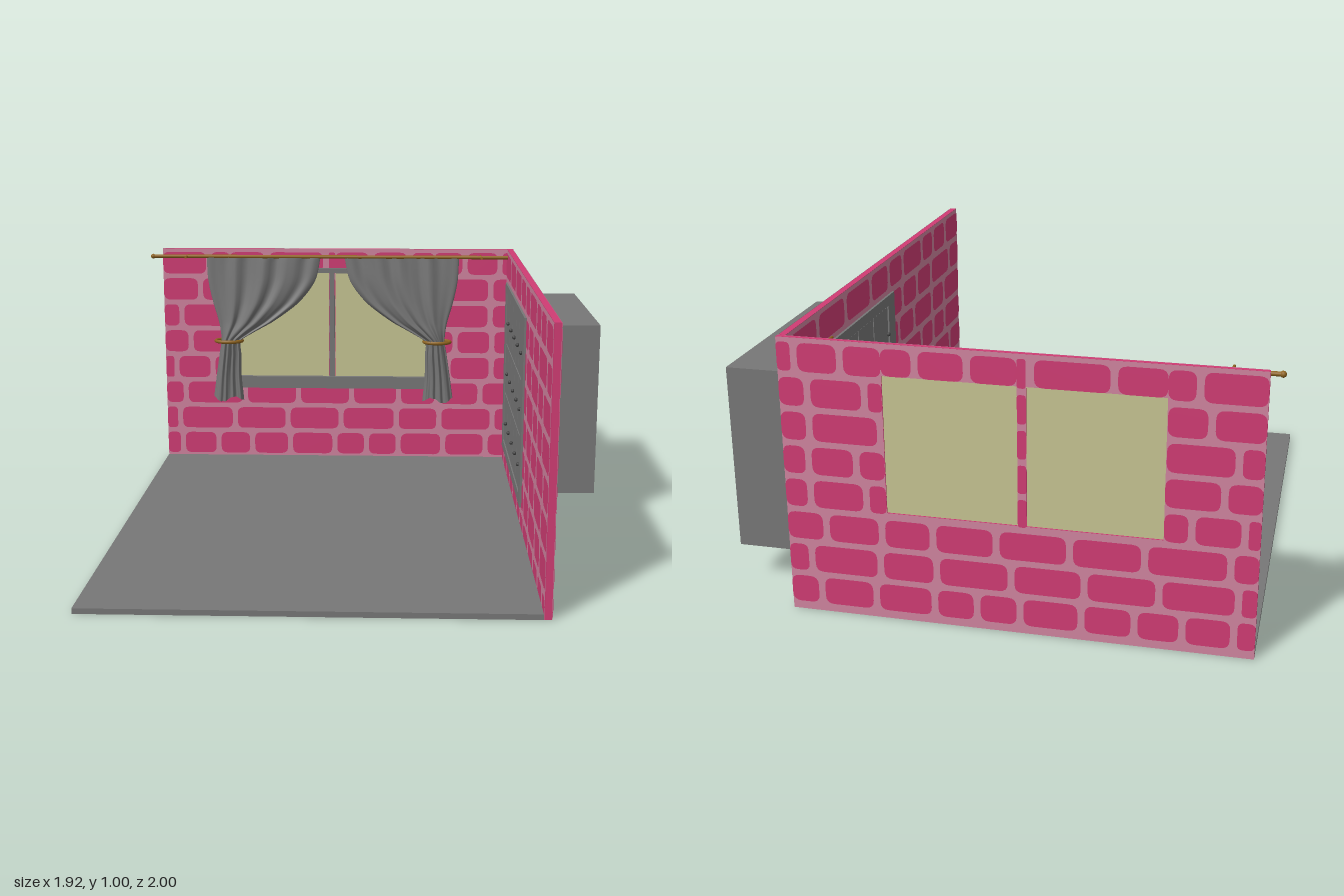
import * as THREE from 'three';

const mat = (name, color) => {
  const m = new THREE.MeshStandardMaterial({ color, side: THREE.DoubleSide });
  m.name = name;
  return m;
};

// vertical joint positions of each brick course, bottom to top
const JOINTS = [
  [-0.85, -0.68, -0.52, -0.34, -0.13, 0.02, 0.17, 0.38, 0.58, 0.75, 0.91],
  [-0.86, -0.6, -0.35, -0.1, 0.16, 0.36, 0.61, 0.8],
  [-0.83, -0.55, -0.3, -0.05, 0.17, 0.35, 0.55, 0.8, 0.97],
  [-0.87, -0.7, -0.45, -0.25, 0, 0.2, 0.4, 0.6, 0.84],
  [-0.8, -0.55, -0.3, -0.05, 0.18, 0.43, 0.6, 0.77, 0.97],
  [-0.97, -0.84, -0.6, -0.35, -0.1, 0.14, 0.34, 0.59, 0.77],
  [-0.95, -0.75, -0.6, -0.46, -0.28, -0.1, 0.05, 0.2, 0.39, 0.59, 0.86],
  [-0.96, -0.71, -0.44, -0.17, 0.04, 0.215, 0.47, 0.63, 0.81],
];

// rectangles are [x0, y0, x1, y1]
function rectPath(P, [x0, y0, x1, y1]) {
  const p = new P();
  p.moveTo(x0, y0).lineTo(x1, y0).lineTo(x1, y1).lineTo(x0, y1).closePath();
  return p;
}

function roundedRect([x0, y0, x1, y1]) {
  const r = Math.min(0.03, (x1 - x0) * 0.35, (y1 - y0) * 0.35);
  const s = new THREE.Shape();
  s.moveTo(x0 + r, y0).lineTo(x1 - r, y0).quadraticCurveTo(x1, y0, x1, y0 + r)
    .lineTo(x1, y1 - r).quadraticCurveTo(x1, y1, x1 - r, y1)
    .lineTo(x0 + r, y1).quadraticCurveTo(x0, y1, x0, y1 - r)
    .lineTo(x0, y0 + r).quadraticCurveTo(x0, y0, x0 + r, y0);
  return s;
}

// parts of a rectangle left over outside an opening
function cut([x0, y0, x1, y1], [a, b, c, d]) {
  if (x1 <= a || x0 >= c || y1 <= b || y0 >= d) return [[x0, y0, x1, y1]];
  const m = Math.max(x0, a), n = Math.min(x1, c);
  return [[x0, y0, m, y1], [n, y0, x1, y1], [m, y0, n, b], [m, d, n, y1]]
    .filter(q => q[2] - q[0] > 0.008 && q[3] - q[1] > 0.008);
}

// wall in its own xy plane, outer face at z = 0, inner face at z = t
function brickWall(name, u0, u1, t, openings, course, gap, M) {
  const g = new THREE.Group();
  g.name = name;
  const outline = rectPath(THREE.Shape, [u0, 0, u1, 1]);
  openings.forEach(o => outline.holes.push(rectPath(THREE.Path, o)));
  const core = new THREE.Mesh(new THREE.ExtrudeGeometry(outline, { depth: t - 0.006, bevelEnabled: false }), M.brick);
  core.position.z = 0.003;
  core.name = name + 'Core';
  g.add(core);
  let bricks = [];
  JOINTS.forEach((row, i) => {
    const y0 = Math.max(0, course.start + i * course.pitch);
    const y1 = Math.min(1, course.start + i * course.pitch + course.height);
    const ends = [u0 - gap, ...row.filter(u => u > u0 + 0.03 && u < u1 - 0.03), u1 + gap];
    for (let k = 0; k < ends.length - 1; k++)
      bricks.push([Math.max(u0, ends[k] + gap / 2), y0, Math.min(u1, ends[k + 1] - gap / 2), y1]);
  });
  openings.forEach(o => { bricks = bricks.flatMap(b => cut(b, o)); });
  const brickGeo = new THREE.ShapeGeometry(bricks.map(roundedRect), 4);
  const mortarGeo = new THREE.ShapeGeometry(outline);
  for (const [side, zm, zb] of [['Inner', t - 0.0015, t], ['Outer', 0.0015, 0]]) {
    const mortar = new THREE.Mesh(mortarGeo, M.mortar);
    mortar.position.z = zm;
    mortar.name = name + side + 'Mortar';
    const face = new THREE.Mesh(brickGeo, M.brick);
    face.position.z = zb;
    face.name = name + side + 'Bricks';
    // outer faces look the other way
    if (side === 'Outer') [mortar, face].forEach(m => {
      m.geometry = m.geometry.clone().scale(-1, 1, 1).rotateY(Math.PI);
      const idx = m.geometry.index.array;
      for (let i = 0; i < idx.length; i += 3) [idx[i], idx[i + 1]] = [idx[i + 1], idx[i]];
      m.geometry.computeVertexNormals();
    });
    g.add(mortar, face);
  }
  return g;
}

// gathered curtain: rows of [y, outer x, inner x, half depth]
function curtainGeometry(mirror) {
  const rows = [
    [0.965, -0.71, -0.19, 0.012], [0.86, -0.705, -0.215, 0.018], [0.76, -0.685, -0.29, 0.024],
    [0.67, -0.66, -0.41, 0.03], [0.62, -0.652, -0.5, 0.034], [0.58, -0.65, -0.56, 0.034],
    [0.52, -0.66, -0.56, 0.034], [0.42, -0.675, -0.56, 0.034], [0.31, -0.69, -0.55, 0.036],
  ];
  const curve = k => new THREE.CatmullRomCurve3(rows.map(r => new THREE.Vector3(r[k], r[0], 0)));
  const outer = curve(1), inner = curve(2), depth = curve(3);
  const N = 96, R = 40, pos = [], idx = [];
  for (let j = 0; j <= R; j++) {
    const t = j / R, a = outer.getPoint(t), b = inner.getPoint(t), d = depth.getPoint(t).x;
    for (let i = 0; i <= N; i++) {
      const th = (i % N) / N * Math.PI * 2, c = -Math.cos(th);
      const fold = 0.009 * Math.sin(th) * Math.cos(c * 13 + t * 2) + 0.004 * Math.sin(th) * Math.sin(c * 23);
      const hem = Math.pow(t, 8) * 0.012 * Math.sin(c * 4);
      const x = (a.x + b.x) / 2 + c * (b.x - a.x) / 2;
      pos.push(mirror ? -0.27 - x : x, a.y + hem, -0.925 + d * Math.sin(th) + fold);
    }
  }
  for (let j = 0; j < R; j++) for (let i = 0; i < N; i++) {
    const p = j * (N + 1) + i, q = p + N + 1;
    if (mirror) idx.push(p, q, p + 1, p + 1, q, q + 1);
    else idx.push(p, p + 1, q, p + 1, q + 1, q);
  }
  // outward-facing order
  for (let i = 0; i < idx.length; i += 3) [idx[i + 1], idx[i + 2]] = [idx[i + 2], idx[i + 1]];
  const g = new THREE.BufferGeometry();
  g.setAttribute('position', new THREE.Float32BufferAttribute(pos, 3));
  g.setIndex(idx);
  g.computeVertexNormals();
  return g;
}

export function createModel() {
  const root = new THREE.Group();
  root.name = 'roomCorner';
  const M = {
    brick: mat('brickPink', 0xd03c74), mortar: mat('mortarPink', 0xd0849f),
    grey: mat('plainGrey', 0x777777), glass: mat('paneYellow', 0xc6c492),
    gold: mat('rodGold', 0x8f6420), knob: mat('knobGrey', 0x444444),
  };
  const add = (name, geo, m, x = 0, y = 0, z = 0) => {
    const mesh = new THREE.Mesh(geo, m);
    mesh.name = name;
    mesh.position.set(x, y, z);
    root.add(mesh);
    return mesh;
  };
  const box = (name, m, x0, x1, y0, y1, z0, z1) =>
    add(name, new THREE.BoxGeometry(x1 - x0, y1 - y0, z1 - z0), m, (x0 + x1) / 2, (y0 + y1) / 2, (z0 + z1) / 2);

  box('floor', M.grey, -0.92, 0.66, 0, 0.02, -0.978, 1);

  // walls
  const panes = [[-0.61, 0.4, -0.155, 0.89], [-0.125, 0.4, 0.33, 0.89]];
  const back = brickWall('backWall', -0.92, 0.69, 0.022, panes, { start: 0.03, pitch: 0.122, height: 0.1 }, 0.024, M);
  back.position.z = -1;
  const side = brickWall('sideWall', -0.978, 1, 0.03, [[-0.84, 0.14, 0.055, 0.82]],
    { start: -0.03, pitch: 0.13, height: 0.104 }, 0.028, M);
  side.rotation.y = -Math.PI / 2;
  side.position.x = 0.69;
  root.add(back, side);

  // window
  panes.forEach(p => box('windowPane', M.glass, p[0], p[2], p[1], p[3], -0.993, -0.984));
  box('windowMullion', M.grey, -0.152, -0.128, 0.4, 0.89, -0.982, -0.965);
  box('windowTopRail', M.grey, -0.635, 0.355, 0.89, 0.912, -0.982, -0.965);
  box('windowSill', M.grey, -0.635, 0.355, 0.35, 0.405, -0.982, -0.96);
  for (const x of [-0.635, 0.33]) box('windowSideRail', M.grey, x, x + 0.025, 0.4, 0.89, -0.982, -0.965);

  // curtains, ties and rod
  for (const mirror of [false, true]) {
    add('curtain', curtainGeometry(mirror), M.grey);
    const tie = add('curtainTie', new THREE.TorusGeometry(0.06, 0.008, 8, 32), M.gold, mirror ? 0.345 : -0.615, 0.58, -0.925);
    tie.rotation.x = Math.PI / 2;
    tie.scale.y = 0.72;
  }
  add('curtainRod', new THREE.CylinderGeometry(0.008, 0.008, 1.64, 12).rotateZ(Math.PI / 2), M.gold, -0.133, 0.97, -0.925);
  for (const x of [-0.955, 0.688])
    add('rodEnd', new THREE.SphereGeometry(0.011, 12, 8), M.gold, x, 0.97, -0.925);
  for (const x of [-0.8, 0.54])
    add('rodBracket', new THREE.CylinderGeometry(0.005, 0.005, 0.1, 8).rotateX(Math.PI / 2), M.gold, x, 0.97, -0.928);

  // recessed cupboard: body, frame, 5 x 3 doors with knobs
  box('cupboardBody', M.grey, 0.666, 0.955, 0.14, 0.82, -0.84, 0);
  box('cupboardEdge', M.grey, 0.664, 0.684, 0.14, 0.82, 0, 0.055);
  box('frameTop', M.grey, 0.652, 0.661, 0.82, 0.86, -0.9, 0.075);
  box('frameBottom', M.grey, 0.652, 0.661, 0.1, 0.14, -0.9, 0.075);
  box('frameBackPost', M.grey, 0.652, 0.661, 0.14, 0.82, -0.9, -0.84);
  box('frameFrontPost', M.grey, 0.652, 0.664, 0.14, 0.82, 0.002, 0.075);
  const w = 0.168, h = 0.68 / 3;
  for (let i = 0; i < 5; i++) for (let j = 0; j < 3; j++) {
    const z = -0.84 + i * w, y = 0.14 + j * h;
    box('cupboardDoor', M.grey, 0.656, 0.667, y + 0.004, y + h - 0.004, z + 0.004, z + w - 0.004);
    add('doorKnob', new THREE.SphereGeometry(0.008, 10, 8), M.knob, 0.65, y + h / 2, z + w - 0.016);
  }
  return root;
}
